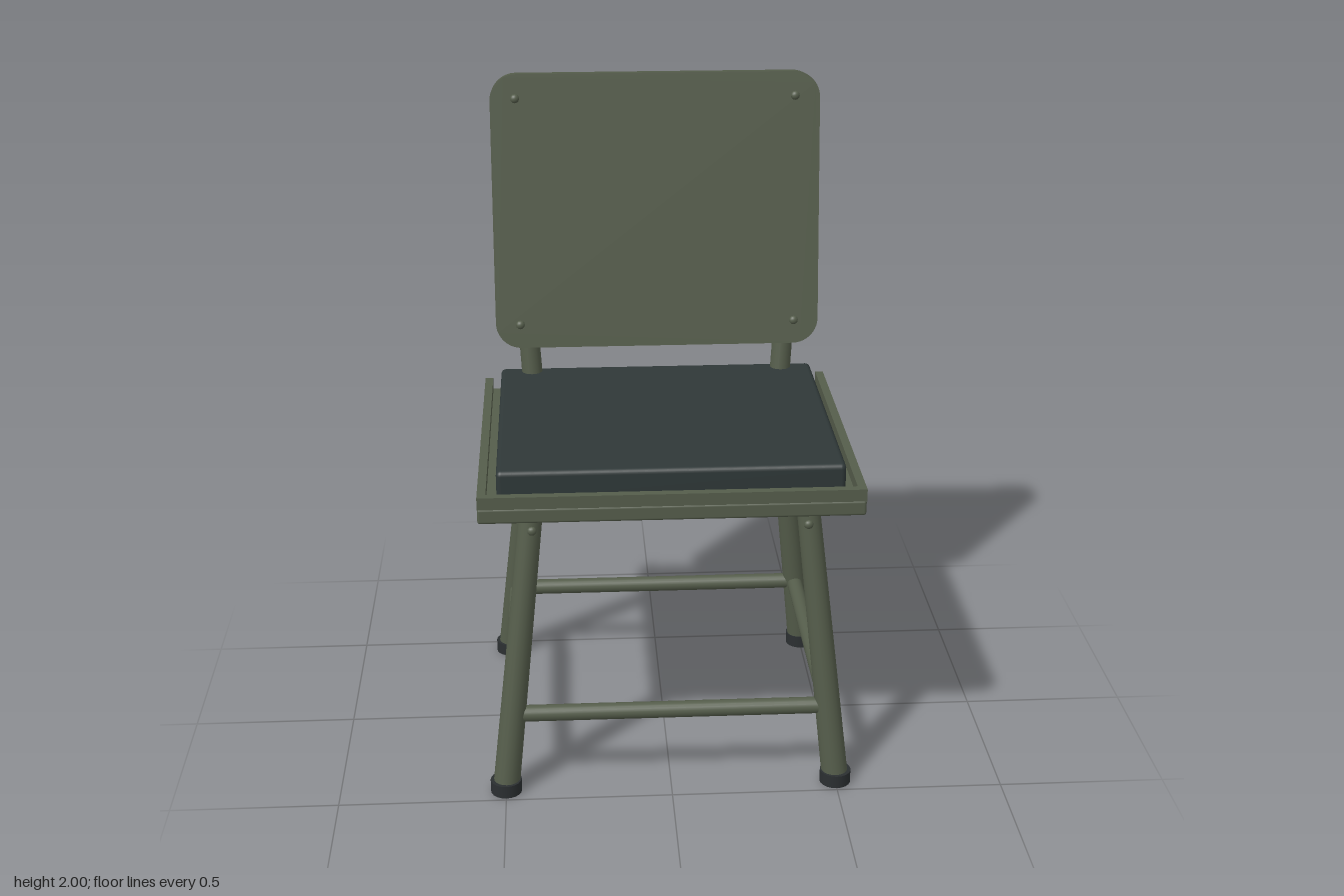
import * as THREE from 'three';
import { RoundedBoxGeometry } from 'three/addons/geometries/RoundedBoxGeometry.js';

const mat = (name, color) => new THREE.MeshStandardMaterial({ name, color });

export function createModel() {
  const olive = mat('olive paint', 0x555d4b);
  const vinyl = mat('dark vinyl', 0x2f3838);
  const rubber = mat('black rubber', 0x2b2f31);
  const model = new THREE.Group();
  model.name = 'chair';

  const add = (name, geometry, material, x = 0, y = 0, z = 0, parent = model) => {
    const mesh = new THREE.Mesh(geometry, material);
    mesh.name = name;
    mesh.position.set(x, y, z);
    parent.add(mesh);
    return mesh;
  };

  // Round tube running between two points
  const rod = (name, a, b, rA, rB) => {
    const from = new THREE.Vector3(...a), to = new THREE.Vector3(...b);
    const dir = to.clone().sub(from);
    const mesh = add(name, new THREE.CylinderGeometry(rB, rA, dir.length(), 20), olive);
    mesh.position.copy(from).addScaledVector(dir, 0.5);
    mesh.quaternion.setFromUnitVectors(new THREE.Vector3(0, 1, 0), dir.normalize());
    return mesh;
  };

  // Domed bolt head facing +z
  const bolt = (name, x, y, z, parent) => {
    const geo = new THREE.SphereGeometry(0.014, 12, 6, 0, Math.PI * 2, 0, Math.PI / 2);
    geo.rotateX(Math.PI / 2).scale(1, 1, 0.8);
    return add(name, geo, olive, x, y, z, parent);
  };

  // Seat board with a raised rim on the front and sides
  add('seatBoard', new RoundedBoxGeometry(1.11, 0.047, 0.965, 2, 0.008), olive, 0, 0.932, 0.0125);
  add('frontRim', new THREE.BoxGeometry(1.11, 0.037, 0.025), olive, 0, 0.972, 0.4825);
  for (const s of [-1, 1]) {
    add('sideRim', new THREE.BoxGeometry(0.025, 0.037, 0.94), olive, s * 0.5425, 0.972, 0);
  }

  // Cushion and the plate below the seat
  add('cushion', new RoundedBoxGeometry(1, 0.1, 0.855, 3, 0.015), vinyl, 0, 1.0, 0.025);
  add('underPlate', new THREE.BoxGeometry(0.71, 0.035, 0.55), rubber, 0, 0.8985, 0);

  // Splayed legs, feet and leg bolts
  for (const sx of [-1, 1]) {
    for (const sz of [-1, 1]) {
      rod('leg', [sx * 0.5, 0.01, sz * 0.445], [sx * 0.4, 0.925, sz * 0.355], 0.04, 0.034);
      add('foot', new THREE.CylinderGeometry(0.047, 0.047, 0.04, 20), rubber, sx * 0.5, 0.02, sz * 0.445);
    }
    bolt('legBolt', sx * 0.403, 0.84, 0.397);
    // Upright carrying the backrest
    rod('backPost', [sx * 0.394, 0.94, -0.362], [sx * 0.452, 1.9, -0.438], 0.033, 0.03);
  }

  // Stretchers between the legs
  for (const s of [-1, 1]) {
    rod('crossStretcher', [-0.472, 0.25, s * 0.42], [0.472, 0.25, s * 0.42], 0.025, 0.025);
    rod('sideStretcher', [s * 0.472, 0.25, -0.42], [s * 0.472, 0.25, 0.42], 0.025, 0.025);
  }

  // Tilted backrest panel with rounded corners
  const w = 0.51, h = 0.427, r = 0.08, t = 0.075;
  const shape = new THREE.Shape();
  shape.absarc(w - r, h - r, r, 0, Math.PI / 2);
  shape.absarc(r - w, h - r, r, Math.PI / 2, Math.PI);
  shape.absarc(r - w, r - h, r, Math.PI, Math.PI * 1.5);
  shape.absarc(w - r, r - h, r, Math.PI * 1.5, Math.PI * 2);
  const back = new THREE.Group();
  back.name = 'backrest';
  back.position.set(0, 1.571, -0.398);
  back.rotation.x = -0.141;
  model.add(back);
  const panel = new THREE.ExtrudeGeometry(shape, { depth: t, bevelEnabled: false, curveSegments: 8 });
  add('backPanel', panel.translate(0, 0, -t / 2), olive, 0, 0, 0, back);
  for (const sx of [-1, 1]) {
    for (const sy of [-1, 1]) bolt('backBolt', sx * 0.433, sy * 0.353, t / 2, back);
  }

  return model;
}
